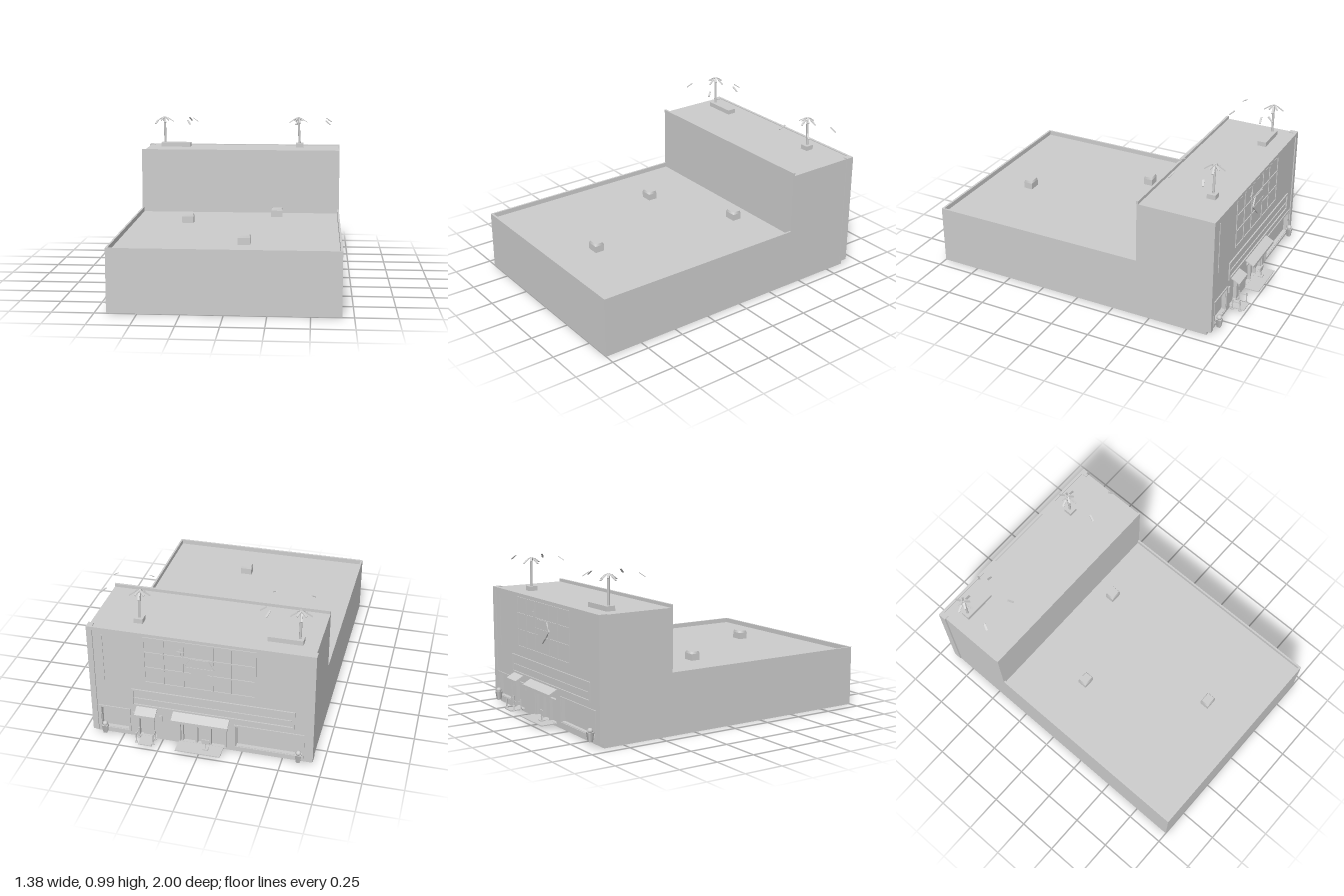
import * as THREE from 'three';

export function createModel() {
  const root = new THREE.Group();
  const grey = new THREE.MeshStandardMaterial({ color: 0xcccccc });
  grey.name = 'concrete grey';

  const add = (name, geo, x = 0, y = 0, z = 0, parent = root) => {
    const m = new THREE.Mesh(geo, grey);
    m.name = name;
    m.position.set(x, y, z);
    parent.add(m);
    return m;
  };
  // box given by its limits on each axis
  const block = (name, x0, x1, y0, y1, z0, z1) =>
    add(name, new THREE.BoxGeometry(x1 - x0, y1 - y0, z1 - z0), (x0 + x1) / 2, (y0 + y1) / 2, (z0 + z1) / 2);
  const rect = (Type, x0, x1, y0, y1) => {
    const s = new Type();
    s.moveTo(x0, y0); s.lineTo(x1, y0); s.lineTo(x1, y1); s.lineTo(x0, y1); s.closePath();
    return s;
  };
  // raised rectangular frame on the facade
  const FACE = -0.905;
  const frame = (name, x0, x1, y0, y1, w, d) => {
    const s = rect(THREE.Shape, x0, x1, y0, y1);
    s.holes.push(rect(THREE.Path, x0 + w, x1 - w, y0 + w, y1 - w));
    add(name, new THREE.ExtrudeGeometry(s, { depth: d, bevelEnabled: false }), 0, 0, FACE - d);
  };

  // main volumes
  block('hall', -0.68, 0.68, 0, 0.355, -0.88, 1);
  block('tower', -0.68, 0.68, 0.355, 0.77, -0.88, -0.41);
  block('towerParapet', -0.68, 0.68, 0.77, 0.79, -0.422, -0.408);
  block('frontParapet', -0.68, 0.68, 0.355, 0.385, 0.986, 1);
  for (const s of [-1, 1]) {
    const a = s * 0.68, b = s * 0.668;
    block('sideParapet', Math.min(a, b), Math.max(a, b), 0.355, 0.385, -0.41, 0.986);
  }

  // facade with entrance, side door and display window openings
  const wall = rect(THREE.Shape, -0.68, 0.68, 0.03, 0.77);
  const openings = [[-0.16, 0.13, 0.031, 0.21], [0.28, 0.39, 0.031, 0.21], [-0.62, -0.22, 0.06, 0.2], [0.46, 0.63, 0.06, 0.2]];
  for (const o of openings) wall.holes.push(rect(THREE.Path, ...o));
  add('facade', new THREE.ExtrudeGeometry(wall, { depth: 0.025, bevelEnabled: false }), 0, 0, FACE);
  for (const s of [-1, 1]) {
    const a = s * 0.655, b = s * 0.69;
    block('pilaster', Math.min(a, b), Math.max(a, b), 0.03, 0.775, -0.912, -0.86);
  }
  block('cornice', -0.655, 0.655, 0.755, 0.775, -0.912, -0.895);
  frame('largeWindowFrame', -0.635, -0.205, 0.045, 0.215, 0.012, 0.006);
  frame('smallWindowFrame', 0.445, 0.645, 0.045, 0.215, 0.012, 0.006);

  // sign band
  frame('signBand', -0.575, 0.43, 0.25, 0.37, 0.012, 0.008);
  block('signLedge', -0.555, 0.41, 0.3, 0.308, -0.911, FACE);
  block('wallStrip', 0.595, 0.602, 0.4, 0.73, -0.909, FACE);

  // window lattice
  for (const x of [-0.335, -0.19, -0.08, 0.1, 0.22, 0.34])
    block('mullion', x - 0.004, x + 0.004, 0.43, 0.75, -0.91, FACE);
  for (const y of [0.434, 0.54, 0.645, 0.746])
    block('transom', -0.335, 0.34, y - 0.004, y + 0.004, -0.91, FACE);

  // gem relief and sparkle
  const gem = new THREE.Shape([[0, 0.5], [0.09, 0.585], [0.055, 0.645], [-0.055, 0.645], [-0.09, 0.585]]
    .map(([x, y]) => new THREE.Vector2(x, y)));
  add('gemRelief', new THREE.ExtrudeGeometry(gem, { depth: 0.009, bevelEnabled: false }), 0, 0, -0.914);
  block('gemGirdle', -0.08, 0.08, 0.585, 0.589, -0.917, -0.912);
  block('sparkle', 0.095, 0.135, 0.677, 0.683, -0.912, FACE);
  block('sparkle', 0.112, 0.118, 0.66, 0.7, -0.912, FACE);

  // sloped awnings: side profile extruded along x
  const awning = (x0, x1, out) => {
    const p = new THREE.Shape();
    p.moveTo(0, 0.255); p.lineTo(out, 0.222); p.lineTo(out, 0.205); p.lineTo(out - 0.005, 0.205);
    p.lineTo(out - 0.005, 0.218); p.lineTo(0, 0.248);
    const m = add('awning', new THREE.ExtrudeGeometry(p, { depth: x1 - x0, bevelEnabled: false }), x0, 0, FACE);
    m.rotation.y = Math.PI / 2;
  };
  awning(-0.18, 0.17, 0.062);
  awning(0.27, 0.4, 0.062);

  // entrance: doors, posts, mats, stand
  for (const x of [-0.15, -0.055, 0.03, 0.12]) block('doorPost', x - 0.006, x + 0.006, 0.03, 0.21, -0.9, -0.88);
  block('doorRail', -0.15, 0.12, 0.165, 0.175, -0.9, -0.88);
  block('entranceMat', -0.14, 0.14, 0.024, 0.03, -1, -0.88);
  block('sideMat', 0.29, 0.375, 0.024, 0.03, -0.995, -0.88);
  block('sideDoorLeaf', 0.3, 0.37, 0.03, 0.19, -0.89, -0.88);
  block('standFoot', -0.055, -0.02, 0.03, 0.036, -0.96, -0.93);
  block('standPole', -0.041, -0.035, 0.036, 0.09, -0.948, -0.942);
  block('standBoard', -0.062, -0.014, 0.07, 0.1, -0.95, -0.944);
  for (const x of [0.285, 0.39]) {
    for (const z of [-0.975, -0.925]) {
      add('ropePost', new THREE.CylinderGeometry(0.004, 0.004, 0.07, 8), x, 0.062, z);
      add('ropePostBase', new THREE.CylinderGeometry(0.01, 0.01, 0.006, 10), x, 0.03, z);
    }
    block('rope', x - 0.002, x + 0.002, 0.08, 0.085, -0.975, -0.925);
  }
  for (const x of [0.25, 0.42]) block('wallLamp', x - 0.008, x + 0.008, 0.16, 0.2, -0.915, FACE);

  // urns beside the corners
  for (const x of [-0.605, 0.605]) {
    const g = new THREE.CylinderGeometry(0.025, 0.016, 0.055, 4).rotateY(Math.PI / 4);
    add('urn', g, x, 0.0575, -0.928);
    add('urnPlant', new THREE.IcosahedronGeometry(0.017, 1), x, 0.095, -0.928);
  }

  // roof vents with tapered caps
  for (const [x, z] of [[0.26, -0.28], [-0.315, -0.015], [0.1, 0.68]]) {
    block('roofVent', x - 0.038, x + 0.038, 0.355, 0.397, z - 0.03, z + 0.03);
    const cap = new THREE.CylinderGeometry(0.85, 1, 0.014, 4).rotateY(Math.PI / 4).scale(0.038 * Math.SQRT2, 1, 0.03 * Math.SQRT2);
    add('roofVentCap', cap, x, 0.404, z);
  }

  // rooftop palms
  const frond = (x, y, z, dx, dz, len) => {
    const m = add('palmFrond', new THREE.BoxGeometry(0.012, 0.004, len), x, y, z);
    m.rotation.order = 'YXZ';
    m.rotation.set(0.6, Math.atan2(dx, dz), 0);
  };
  const palm = (x, z, lean) => {
    const from = new THREE.Vector3(x, 0.79, z), to = new THREE.Vector3(x + lean, 0.97, z);
    const trunk = new THREE.TubeGeometry(new THREE.LineCurve3(from, to), 4, 0.008, 8);
    add('palmTrunk', trunk);
    for (let i = 0; i < 8; i++) {
      const a = i * Math.PI / 4 + 0.2, r = i % 2 ? 0.022 : 0.042;
      frond(to.x + Math.sin(a) * r, 0.982 - r * 0.45, z + Math.cos(a) * r, Math.sin(a), Math.cos(a), i % 2 ? 0.04 : 0.05);
    }
  };
  block('longPlanter', -0.59, -0.38, 0.77, 0.8, -0.803, -0.745);
  block('smallPlanter', 0.375, 0.43, 0.77, 0.8, -0.8, -0.745);
  palm(-0.565, -0.775, -0.003);
  palm(0.403, -0.775, -0.01);
  // outlying frond tips: x, z, direction x, direction z
  for (const [x, z, dx, dz] of [
    [-0.595, -0.565, -0.02, 0.04], [-0.37, -0.565, 0.025, 0.035], [-0.345, -0.77, 0.045, -0.005], [-0.385, -0.82, 0.02, -0.04],
    [0.385, -0.565, -0.015, 0.045], [0.6, -0.59, 0.035, 0.025], [0.61, -0.795, 0.04, -0.015],
  ]) frond(x, 0.965, z, dx, dz, 0.045);

  return root;
}
